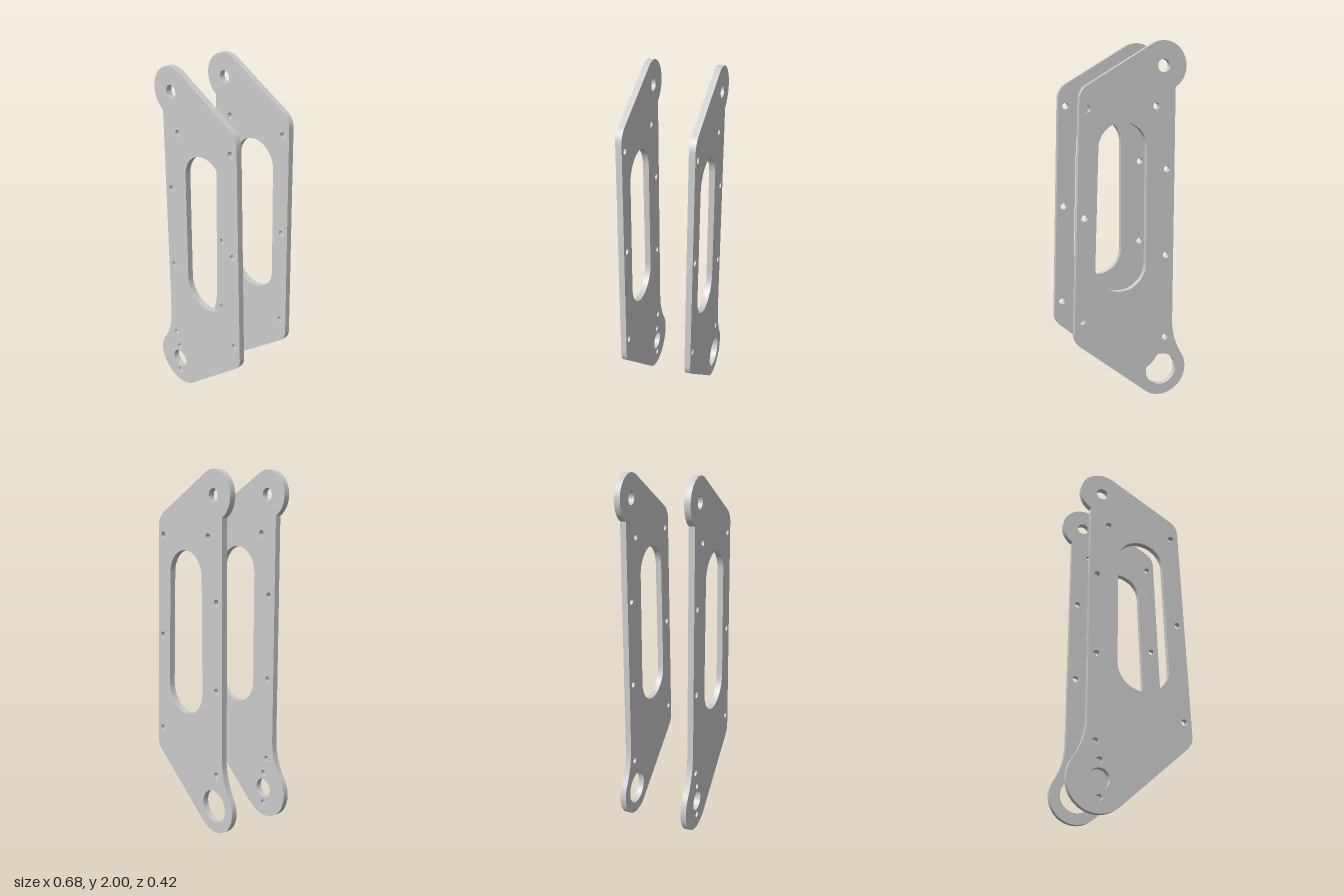
import * as THREE from 'three';
import { toCreasedNormals } from 'three/addons/utils/BufferGeometryUtils.js';

const THICKNESS = 0.034;
const EDGE_X = -0.243; // straight rear edge of the plate
const FILLET = 0.4; // concave blend into the lower boss

// Angle of the outer tangent normal when going counter-clockwise from circle a to circle b
function tangentAngle(a, b) {
  const dx = b.x - a.x, dy = b.y - a.y;
  return Math.atan2(dy, dx) - Math.acos((a.r - b.r) / Math.hypot(dx, dy));
}

function hole(x, y, r) {
  return new THREE.Path().absarc(x, y, r, 0, Math.PI * 2, true);
}

// Side plate: a belt around four circles, with a straight edge and a concave blend
function plateShape(bossRadius, boreRadius) {
  const boss = { x: -0.175, y: 0.168, r: bossRadius };
  const lowerCorner = { x: 0.244, y: 0.437, r: 0.094 };
  const upperCorner = { x: 0.203, y: 1.692, r: 0.094 };
  const topBoss = { x: -0.175, y: 1.87, r: 0.13 };

  const blendX = EDGE_X - FILLET;
  const blendY = boss.y + Math.sqrt((FILLET + boss.r) ** 2 - (boss.x - blendX) ** 2);
  const blendAngle = Math.atan2(boss.y - blendY, boss.x - blendX);
  const a = tangentAngle(boss, lowerCorner);
  const b = tangentAngle(lowerCorner, upperCorner);
  const c = tangentAngle(upperCorner, topBoss);
  const notch = -Math.acos((EDGE_X - topBoss.x) / topBoss.r);

  const s = new THREE.Shape();
  const arc = (k, from, to) => s.absarc(k.x, k.y, k.r, from, to, false);
  arc(boss, blendAngle + Math.PI, a + Math.PI * 2);
  arc(lowerCorner, a, b);
  arc(upperCorner, b, c);
  arc(topBoss, c, notch + Math.PI * 2);
  s.lineTo(EDGE_X, blendY);
  s.absarc(blendX, blendY, FILLET, 0, blendAngle, true);

  // Tapered slot with round ends
  const slot = new THREE.Path();
  slot.absarc(0.0585, 1.441, 0.1375, 0.016, Math.PI, false);
  slot.absarc(0.069, 0.805, 0.148, Math.PI, Math.PI * 2 + 0.016, false);
  slot.closePath();
  s.holes.push(slot);

  // Pivot bores
  s.holes.push(hole(topBoss.x, topBoss.y, 0.035), hole(boss.x, 0.17, boreRadius));

  // Spacer bolt holes
  for (const [x, y] of [[-0.132, 1.66], [0.255, 1.65], [-0.198, 1.322], [0.275, 1.08],
    [-0.198, 0.84], [0.294, 0.512], [-0.198, 0.36]]) {
    s.holes.push(hole(x, y, 0.018));
  }
  return s;
}

function makePlate(name, shape, z) {
  const geometry = new THREE.ExtrudeGeometry(shape, {
    depth: THICKNESS, bevelEnabled: false, curveSegments: 32,
  });
  const mesh = new THREE.Mesh(
    toCreasedNormals(geometry, Math.PI / 6),
    new THREE.MeshStandardMaterial({ color: 0xcccccc }),
  );
  mesh.name = name;
  mesh.position.z = z;
  return mesh;
}

export function createModel() {
  const group = new THREE.Group();
  group.name = 'linkArmPlates';

  // Front plate: larger boss, small bore with two screw holes
  const front = plateShape(0.168, 0.056);
  front.holes.push(hole(-0.175, 0.264, 0.018), hole(-0.175, 0.078, 0.018));
  group.add(makePlate('frontPlate', front, 0.173));

  // Back plate: smaller boss, large bore
  group.add(makePlate('backPlate', plateShape(0.151, 0.092), -0.209));
  return group;
}
